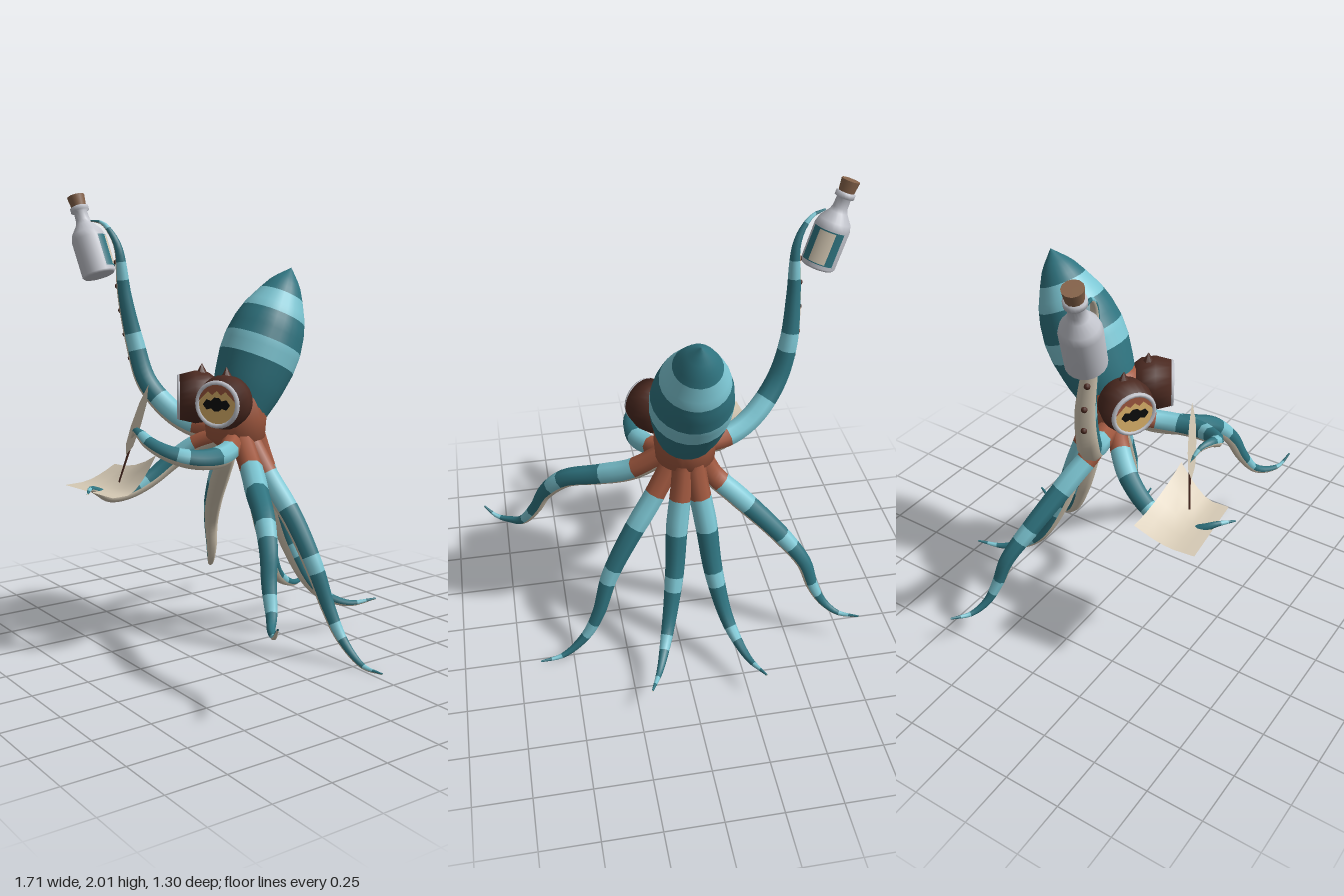
import * as THREE from 'three';

const V = (a) => new THREE.Vector3(...a);
const mat = (name, color, side = THREE.FrontSide) => {
  const m = new THREE.MeshStandardMaterial({ color, side });
  m.name = name;
  return m;
};

export function createModel() {
  const teal = mat('teal', 0x2f7480, THREE.DoubleSide);
  const aqua = mat('aqua', 0x7cc6d3);
  const rust = mat('rust', 0xa0583f);
  const brown = mat('dark brown', 0x4c2a21);
  const cream = mat('cream', 0xd6cab5, THREE.DoubleSide);
  const glass = mat('pale glass', 0xc4c6ce);
  const amber = mat('amber', 0xdfb56c);
  const black = mat('black', 0x0c0c0c);
  const cork = mat('cork', 0x86634a);

  const model = new THREE.Group();
  const add = (parent, name, geo, material, pos = [0, 0, 0]) => {
    const m = new THREE.Mesh(geo, material);
    m.name = name;
    m.position.set(...pos);
    parent.add(m);
    return m;
  };
  const group = (name, pos) => {
    const g = new THREE.Group();
    g.name = name;
    g.position.set(...pos);
    model.add(g);
    return g;
  };
  const lathe = (pts, n = 24) => new THREE.LatheGeometry(pts.map((p) => new THREE.Vector2(...p)), n);
  const shape = (pts) => new THREE.ShapeGeometry(new THREE.Shape(pts.map((p) => new THREE.Vector2(...p))));
  const Y = new THREE.Vector3(0, 1, 0);

  // Mantle: striped bands along an axis that leans back
  const mantle = group('mantle', [-0.06, 1.11, -0.075]);
  mantle.rotation.x = -0.441;
  const profile = [[0.125, -0.06], [0.155, 0.05], [0.174, 0.17], [0.176, 0.25], [0.162, 0.34],
    [0.141, 0.41], [0.102, 0.49], [0.066, 0.555], [0, 0.625]];
  const radiusAt = (s) => {
    const i = Math.min(profile.findIndex((p) => p[1] >= s - 1e-9) || 1, profile.length - 1);
    const [a, b] = [profile[i - 1], profile[i]];
    return THREE.MathUtils.lerp(a[0], b[0], (s - a[1]) / (b[1] - a[1]));
  };
  [-0.06, 0.17, 0.26, 0.39, 0.49, 0.625].forEach((s0, i, edges) => {
    if (i === edges.length - 1) return;
    const pts = [];
    for (let k = 0; k <= 5; k++) {
      const s = THREE.MathUtils.lerp(s0, edges[i + 1], k / 5);
      pts.push([Math.max(radiusAt(s), 0), s]);
    }
    add(mantle, 'mantleBand', lathe(pts), i % 2 ? aqua : teal);
  });

  // Head
  add(model, 'head', lathe([[0, 0.9], [0.08, 0.9], [0.13, 0.94], [0.138, 1.03], [0.135, 1.12], [0.1, 1.2], [0, 1.22]]),
    rust, [-0.06, 0, -0.035]);

  // Eyes: cup, rim, iris, lid and jagged pupil, turned outward
  const lid = [];
  for (let i = 0; i <= 12; i++) {
    const a = THREE.MathUtils.lerp(0.15, Math.PI - 0.15, i / 12);
    lid.push([0.085 * Math.cos(a), 0.085 * Math.sin(a)]);
  }
  lid.push([-0.06, 0.035], [-0.04, 0.055], [-0.02, 0.04], [0, 0.058], [0.02, 0.04], [0.04, 0.055], [0.06, 0.035]);
  const pupil = [[-0.062, 0], [-0.045, -0.022], [-0.025, -0.016], [-0.01, -0.028], [0.01, -0.028], [0.025, -0.016],
    [0.045, -0.022], [0.062, 0], [0.045, 0.022], [0.025, 0.016], [0.01, 0.03], [-0.01, 0.03], [-0.025, 0.016], [-0.045, 0.022]];
  for (const side of [-1, 1]) {
    const eye = group(side > 0 ? 'leftEye' : 'rightEye', [-0.055 + side * 0.148, 1.115, 0.167]);
    eye.rotation.y = side * 0.56;
    const cup = lathe([[0, -0.2], [0.07, -0.18], [0.108, -0.13], [0.117, -0.07], [0.1, 0], [0, 0.001]]);
    add(eye, 'eyeCup', cup.rotateX(Math.PI / 2), brown);
    add(eye, 'eyeRim', new THREE.TorusGeometry(0.091, 0.011, 6, 24), glass);
    add(eye, 'iris', new THREE.CircleGeometry(0.088, 24), amber, [0, 0, 0.004]);
    add(eye, 'eyelid', shape(lid), rust, [0, 0, 0.007]);
    add(eye, 'pupil', shape(pupil), black, [0, 0, 0.01]);
    add(eye, 'browHorn', new THREE.ConeGeometry(0.038, 0.07, 6), brown, [0, 0.115, -0.1]);
  }

  // Tentacle: tapered tube, banded on top and cream along the underside
  const bands = [[0.15, rust], [0.29, aqua], [0.47, teal], [0.55, aqua], [0.73, teal], [0.79, aqua], [0.92, teal], [0.96, aqua], [1, teal]];
  const taper = [0.048, 0.05, 0.042, 0.027, 0.004];
  const tentacle = (name, points, { size = 1, rustEnd = 0.15, suckers = [] } = {}) => {
    const curve = new THREE.CatmullRomCurve3(points.map(V));
    const rings = 48, sides = 8, pos = [], faces = new Map();
    const N = new THREE.Vector3(0, -1, 0);
    for (let i = 0; i <= rings; i++) {
      const u = i / rings, P = curve.getPointAt(u), T = curve.getTangentAt(u);
      N.addScaledVector(T, -N.dot(T)).normalize();
      const B = T.clone().cross(N);
      const k = Math.min(Math.floor(u * 4), 3);
      const r = size * THREE.MathUtils.lerp(taper[k], taper[k + 1], u * 4 - k);
      for (let j = 0; j < sides; j++) {
        const a = ((j - 0.5) / sides) * Math.PI * 2;
        pos.push(...P.clone().addScaledVector(N, r * Math.cos(a)).addScaledVector(B, r * Math.sin(a)).toArray());
      }
      if (suckers.includes(i)) {
        add(model, 'sucker', new THREE.SphereGeometry(0.013, 8, 6), brown, P.clone().addScaledVector(N, r).toArray());
      }
      if (i === rings) break;
      const mid = (i + 0.5) / rings;
      const skin = mid < rustEnd ? rust : bands.find((b, n) => n > 0 && mid < b[0])[1];
      for (let j = 0; j < sides; j++) {
        const m = [7, 0, 1].includes(j) ? cream : skin;
        const a = i * sides + j, b = i * sides + ((j + 1) % sides);
        if (!faces.has(m)) faces.set(m, []);
        faces.get(m).push(a, b, b + sides, a, b + sides, a + sides);
      }
    }
    const geo = new THREE.BufferGeometry();
    geo.setAttribute('position', new THREE.Float32BufferAttribute(pos, 3));
    const index = [];
    [...faces.values()].forEach((f, n) => {
      geo.addGroup(index.length, f.length, n);
      index.push(...f);
    });
    geo.setIndex(index);
    geo.computeVertexNormals();
    add(model, name, geo, [...faces.keys()]);
  };

  tentacle('raisedArm', [[-0.13, 0.96, 0], [-0.27, 0.965, 0.035], [-0.39, 1.02, 0.085], [-0.505, 1.15, 0.15], [-0.56, 1.33, 0.18],
    [-0.58, 1.55, 0.22], [-0.585, 1.76, 0.245], [-0.615, 1.83, 0.265], [-0.66, 1.875, 0.285], [-0.72, 1.885, 0.31]],
  { size: 1.05, rustEnd: 0.1, suckers: [22, 26, 30, 34, 38] });
  tentacle('leftFrontLeg', [[0.02, 0.94, -0.01], [0.165, 0.83, 0.04], [0.3, 0.765, 0.11], [0.455, 0.7, 0.19], [0.55, 0.595, 0.24],
    [0.6, 0.48, 0.275], [0.67, 0.375, 0.315], [0.72, 0.35, 0.355], [0.79, 0.35, 0.395], [0.845, 0.4, 0.42]]);
  tentacle('rightSideLeg', [[-0.13, 0.93, -0.04], [-0.18, 0.83, -0.06], [-0.285, 0.73, -0.105], [-0.47, 0.545, -0.19], [-0.575, 0.41, -0.25],
    [-0.615, 0.29, -0.28], [-0.665, 0.2, -0.31], [-0.73, 0.155, -0.35], [-0.815, 0.165, -0.4]]);
  tentacle('leftSideLeg', [[0, 0.94, -0.06], [0.09, 0.78, -0.1], [0.21, 0.6, -0.15], [0.31, 0.41, -0.185], [0.37, 0.23, -0.22],
    [0.44, 0.105, -0.24], [0.55, 0.018, -0.26], [0.655, 0.012, -0.275]]);
  for (const s of [-1, 1]) {
    tentacle(s > 0 ? 'leftBackLeg' : 'rightBackLeg', [[0.025, 0.95, -0.12], [0.035, 0.86, -0.145], [0.065, 0.67, -0.2], [0.09, 0.44, -0.27],
      [0.14, 0.22, -0.38], [0.2, 0.135, -0.53], [0.255, 0.148, -0.655]].map(([x, y, z]) => [-0.06 + s * x, y, z]));
  }
  tentacle('writingArm', [[0, 0.94, 0.02], [0.07, 0.91, 0.09], [0.12, 0.895, 0.19], [0.125, 0.9, 0.3], [0.08, 0.925, 0.39],
    [0.01, 0.965, 0.445], [-0.06, 1.0, 0.455], [-0.12, 1.0, 0.44], [-0.18, 0.96, 0.425]], { size: 0.95 });
  tentacle('paperArm', [[-0.11, 0.94, 0.02], [-0.19, 0.9, 0.09], [-0.25, 0.83, 0.17], [-0.28, 0.75, 0.27], [-0.29, 0.7, 0.38],
    [-0.28, 0.695, 0.48], [-0.265, 0.73, 0.55], [-0.235, 0.75, 0.595], [-0.17, 0.745, 0.645]], { size: 0.9 });

  // Paper sheet, curling up toward the body
  const sheet = new THREE.PlaneGeometry(1, 1, 4, 6);
  const sp = sheet.attributes.position;
  for (let i = 0; i < sp.count; i++) {
    const u = sp.getX(i) + 0.5, t = sp.getY(i) + 0.5;
    const lift = Math.max(0, (t - 0.35) / 0.65) ** 1.5 * THREE.MathUtils.lerp(0.06, 0.155, u * u);
    sp.setXYZ(i, THREE.MathUtils.lerp(-0.445 - 0.03 * t, -0.09 - 0.02 * t, u), 0.733 + lift,
      THREE.MathUtils.lerp(0.61 - 0.04 * u, 0.345, t));
  }
  sheet.computeVertexNormals();
  add(model, 'paper', sheet, cream);

  // Quill pen
  const quill = group('quill', [-0.23, 0.765, 0.46]);
  quill.quaternion.setFromUnitVectors(Y, V([0.125, 0.425, -0.085]).normalize());
  add(quill, 'quillShaft', new THREE.CylinderGeometry(0.007, 0.004, 0.3, 6), brown, [0, 0.15, 0]);
  add(quill, 'feather', shape([[0, 0.13], [0.03, 0.18], [0.038, 0.28], [0.03, 0.38], [0, 0.455], [-0.024, 0.36], [-0.032, 0.25], [-0.026, 0.17]]),
    cream, [0, 0, 0.008]);

  // Corked bottle with a scroll showing at the back
  const bottle = group('bottle', [-0.695, 1.635, 0.285]);
  bottle.quaternion.setFromUnitVectors(Y, V([-0.13, 0.36, 0.045]).normalize());
  add(bottle, 'bottleGlass', lathe([[0, 0], [0.07, 0], [0.078, 0.01], [0.079, 0.18], [0.07, 0.21], [0.04, 0.25], [0.033, 0.27],
    [0.031, 0.31], [0.043, 0.315], [0.043, 0.335], [0.03, 0.34], [0, 0.34]], 20), glass);
  add(bottle, 'cork', new THREE.CylinderGeometry(0.041, 0.034, 0.055, 12), cork, [0, 0.362, 0]);
  const wrap = (r, h, arc) => new THREE.CylinderGeometry(r, r, h, 10, 1, true, 2.61 - arc / 2, arc);
  add(bottle, 'bottleBackBand', wrap(0.081, 0.15, 1.9), teal, [0, 0.1, 0]);
  add(bottle, 'scroll', wrap(0.084, 0.14, 0.9), cream, [0, 0.1, 0]);

  return model;
}
